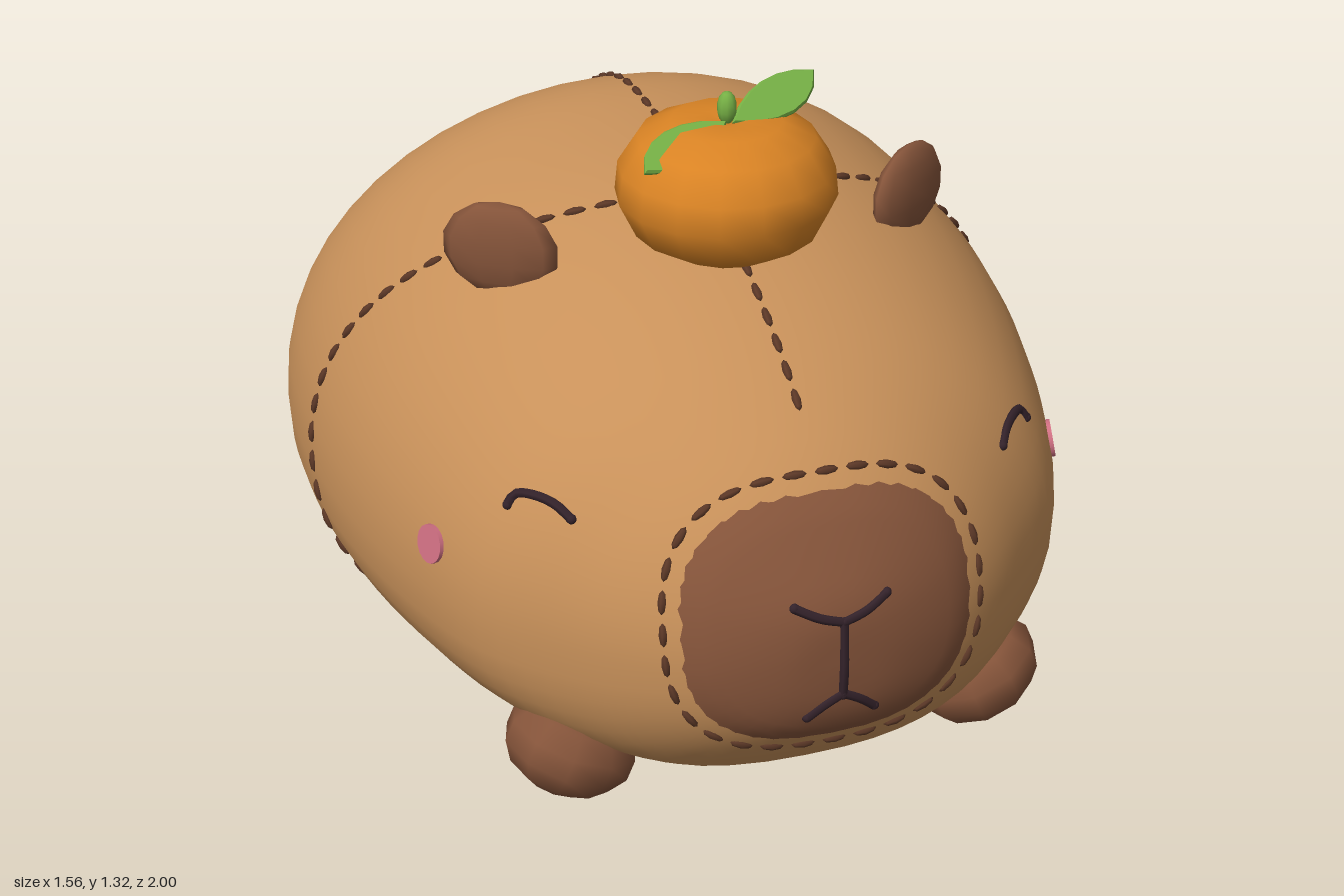
import * as THREE from 'three';
import { mergeVertices, mergeGeometries } from 'three/addons/utils/BufferGeometryUtils.js';

const V = (x, y, z) => new THREE.Vector3(x, y, z);
const paint = (name, color) => Object.assign(new THREE.MeshStandardMaterial({ color }), { name });

// Body stations, back to front: z, half width, top, bottom
const STATIONS = [
  [-0.99, 0, 0.42, 0.42], [-0.975, 0.2, 0.5, 0.3], [-0.93, 0.35, 0.59, 0.22], [-0.85, 0.48, 0.72, 0.13],
  [-0.72, 0.61, 0.87, 0.06], [-0.55, 0.71, 1.0, 0.03], [-0.35, 0.76, 1.08, 0.02], [-0.1, 0.77, 1.09, 0.02],
  [0.15, 0.745, 1.07, 0.03], [0.4, 0.685, 1.01, 0.04], [0.6, 0.605, 0.925, 0.055], [0.75, 0.475, 0.83, 0.075],
  [0.85, 0.37, 0.74, 0.145], [0.93, 0.25, 0.63, 0.235], [0.975, 0.12, 0.54, 0.32], [0.986, 0, 0.42, 0.42],
];
const MID = 0.42;
const zw = new THREE.CatmullRomCurve3(STATIONS.map((s) => V(s[0], s[1], 0)), false, 'catmullrom');
const tb = new THREE.CatmullRomCurve3(STATIONS.map((s) => V(s[2], s[3], 0)), false, 'catmullrom');
const section = (t) => {
  const a = zw.getPoint(t), b = tb.getPoint(t);
  return { z: a.x, w: Math.max(a.y, 0), up: Math.max(b.x - MID, 0), down: Math.max(MID - b.y, 0) };
};

// Point on the body: round above the middle, squarer below
function bodyPoint(t, phi) {
  const s = section(t), c = Math.cos(phi), n = Math.sin(phi);
  if (n >= 0) return V(s.w * c, MID + s.up * n, s.z);
  return V(s.w * Math.sign(c) * Math.abs(c) ** 0.8, MID - s.down * Math.abs(n) ** 0.8, s.z);
}

function bisect(lo, hi, isLow) {
  for (let i = 0; i < 30; i++) {
    const m = (lo + hi) / 2;
    if (isLow(m)) lo = m; else hi = m;
  }
  return lo;
}
const stationAt = (z) => bisect(0, 1, (t) => section(t).z < z);

// Depth of the front surface behind a point of the face
function frontZ(x, y) {
  const t = bisect(0.45, 1, (m) => {
    const s = section(m), n = y > MID ? 2 : 2.5, h = y > MID ? s.up : s.down;
    return (Math.abs(x) / s.w) ** n + (Math.abs(y - MID) / h) ** n < 1;
  });
  return section(t).z;
}
const onFace = (x, y, lift = 0) => V(x, y, frontZ(x, y) + lift);

// Grid of points to a smooth surface; columns wrap around
function gridGeometry(rows, cols, point) {
  const pos = [], idx = [];
  for (let i = 0; i <= rows; i++) for (let j = 0; j < cols; j++) pos.push(...point(i / rows, (j / cols) * Math.PI * 2).toArray());
  for (let i = 0; i < rows; i++) for (let j = 0; j < cols; j++) {
    const k = (j + 1) % cols, a = i * cols + j, b = i * cols + k, c = a + cols, d = b + cols;
    idx.push(a, b, c, b, d, c);
  }
  let g = new THREE.BufferGeometry();
  g.setAttribute('position', new THREE.Float32BufferAttribute(pos, 3));
  g.setIndex(idx);
  g = mergeVertices(g, 1e-5);
  g.computeVertexNormals();
  return g;
}

// Muzzle outline, a rounded square
function muzzleXY(r, a, halfW = 0.31, halfH = 0.26) {
  const p = (v) => Math.sign(v) * Math.abs(v) ** 0.78;
  return [r * halfW * p(Math.cos(a)), 0.49 + r * halfH * p(Math.sin(a))];
}

// Row of small dashes along a line of points
function stitchGeometry(points, closed = false) {
  const curve = new THREE.CatmullRomCurve3(points, closed);
  const n = Math.round(curve.getLength() / 0.064), parts = [];
  for (let i = 0; i < n; i++) {
    const u = (i + 0.5) / n, g = new THREE.SphereGeometry(1, 6, 4);
    g.rotateX(Math.PI / 2).scale(0.009, 0.009, 0.024);
    g.applyQuaternion(new THREE.Quaternion().setFromUnitVectors(V(0, 0, 1), curve.getTangentAt(u)));
    const p = curve.getPointAt(u);
    parts.push(g.translate(p.x, p.y, p.z));
  }
  return mergeGeometries(parts);
}

export function createModel() {
  const fur = paint('tan fur', 0xc8915a), brown = paint('brown', 0x85543a), thread = paint('dark thread', 0x5c3827);
  const ink = paint('ink', 0x33222a), pink = paint('blush pink', 0xcf6f82);
  const orange = paint('orange', 0xd98324), green = paint('leaf green', 0x76b045);
  const model = new THREE.Group();
  const add = (name, geo, mat) => {
    const m = new THREE.Mesh(geo, mat);
    m.name = name;
    model.add(m);
    return m;
  };
  const blob = (name, mat, pos, size, rot = [0, 0, 0]) => {
    const m = add(name, new THREE.SphereGeometry(1, 10, 7), mat);
    m.position.set(...pos);
    m.scale.set(...size);
    m.rotation.set(...rot);
  };
  // Line drawn on the face
  const stroke = (name, pts, radius) => {
    const curve = new THREE.CatmullRomCurve3(pts);
    add(name, new THREE.TubeGeometry(curve, 10, radius, 6), ink);
    for (const p of [pts[0], pts[pts.length - 1]]) blob(name + 'End', ink, p.toArray(), [radius, radius, radius]);
  };

  add('body', gridGeometry(60, 48, bodyPoint), fur);

  // Muzzle patch, bulging slightly from the face
  add('muzzle', gridGeometry(12, 40, (v, a) => {
    const r = 1 - v, [x, y] = muzzleXY(r, a);
    return onFace(x, y, -0.004 + 0.012 * Math.min(1, (1 - r) * 6));
  }), brown);
  const rim = Array.from({ length: 40 }, (_, i) => onFace(...muzzleXY(1, (i / 40) * Math.PI * 2, 0.32, 0.272)));
  add('muzzleStitching', stitchGeometry(rim, true), thread);

  // Nose and mouth lines
  const lip = (pts) => pts.map(([x, y]) => onFace(x, y, 0.006));
  stroke('mouthLine', lip([[0, 0.525], [0, 0.47], [0, 0.42], [0, 0.365]]), 0.01);

  // Midline seam over the back and down the rump
  const spine = [], start = stationAt(0.74), end = stationAt(-0.95);
  for (let i = 0; i <= 40; i++) spine.push(bodyPoint(start * (1 - i / 40), Math.PI / 2));
  for (let i = 1; i <= 4; i++) spine.push(bodyPoint((end * i) / 4, -Math.PI / 2));
  add('backSeam', stitchGeometry(spine), thread);

  for (const s of [1, -1]) {
    const side = s > 0 ? 'left' : 'right';
    stroke(side + 'NoseLine', lip([[0, 0.525], [s * 0.045, 0.538], [s * 0.092, 0.56]]), 0.01);
    stroke(side + 'MouthCorner', lip([[0, 0.37], [s * 0.035, 0.35], [s * 0.068, 0.322]]), 0.01);

    // Closed smiling eye
    const lid = [[0.44, 0.667], [0.46, 0.684], [0.49, 0.69], [0.52, 0.682], [0.536, 0.66]];
    stroke(side + 'Eye', lid.map(([x, y]) => onFace(s * x, y)), 0.01);

    // Blush disc lying on the surface
    const cx = s * 0.655, cy = 0.52, e = 0.01, c = onFace(cx, cy);
    const normal = V(-(frontZ(cx + e, cy) - frontZ(cx - e, cy)), -(frontZ(cx, cy + e) - frontZ(cx, cy - e)), 2 * e).normalize();
    const cheek = add(side + 'Cheek', new THREE.CylinderGeometry(0.039, 0.039, 0.009, 16), pink);
    cheek.position.copy(c).addScaledVector(normal, 0.002);
    cheek.quaternion.setFromUnitVectors(V(0, 1, 0), normal);

    // Curved seam behind the ear, down the flank
    const flank = [];
    for (let i = 0; i <= 24; i++) {
      const phi = 1.34 - (i / 24) * 2.2, y = bodyPoint(stationAt(0), phi).y;
      const p = bodyPoint(stationAt(-0.1 + 0.21 * ((y - 0.56) / 0.45) ** 2), phi);
      flank.push(V(s * p.x, p.y, p.z));
    }
    add(side + 'FlankSeam', stitchGeometry(flank), thread);

    blob(side + 'Ear', brown, [s * 0.43, 1.0, 0.2], [0.122, 0.102, 0.036], [0, s * 0.63, 0]);
    blob(side + 'FrontFoot', brown, [s * 0.43, 0.117, 0.63], [0.138, 0.103, 0.13], [0, 0, s * 0.4]);
    blob(side + 'BackFoot', brown, [s * 0.48, 0.113, -0.68], [0.128, 0.108, 0.13], [0, 0, s * 0.2]);

    // Leaf with a broad, rounded outer half
    const leaf = new THREE.Shape();
    leaf.moveTo(0, 0);
    leaf.bezierCurveTo(0.05, 0.05, 0.13, 0.06, 0.195, 0.02);
    leaf.bezierCurveTo(0.17, -0.045, 0.08, -0.05, 0, 0);
    const leafGeo = new THREE.ExtrudeGeometry(leaf, { depth: 0.006, bevelEnabled: true, bevelSize: 0.004, bevelThickness: 0.006, bevelSegments: 1, curveSegments: 6 });
    leafGeo.translate(0, 0, -0.003).rotateZ(0.32).rotateX(-0.75);
    if (s < 0) leafGeo.rotateY(Math.PI).rotateX(1.5);
    const m = add(side + 'Leaf', leafGeo, green);
    m.position.set(s * 0.01, 1.262, 0.325);
  }

  // Fruit on the head
  const profile = [[0, 0.99], [0.11, 0.995], [0.185, 1.04], [0.219, 1.11], [0.213, 1.17], [0.175, 1.23], [0.11, 1.262], [0.04, 1.266], [0, 1.255]];
  const fruit = add('fruit', new THREE.LatheGeometry(profile.map(([x, y]) => new THREE.Vector2(x, y)), 16), orange);
  fruit.position.z = 0.31;
  blob('fruitStem', green, [0, 1.288, 0.31], [0.02, 0.034, 0.02]);
  return model;
}
